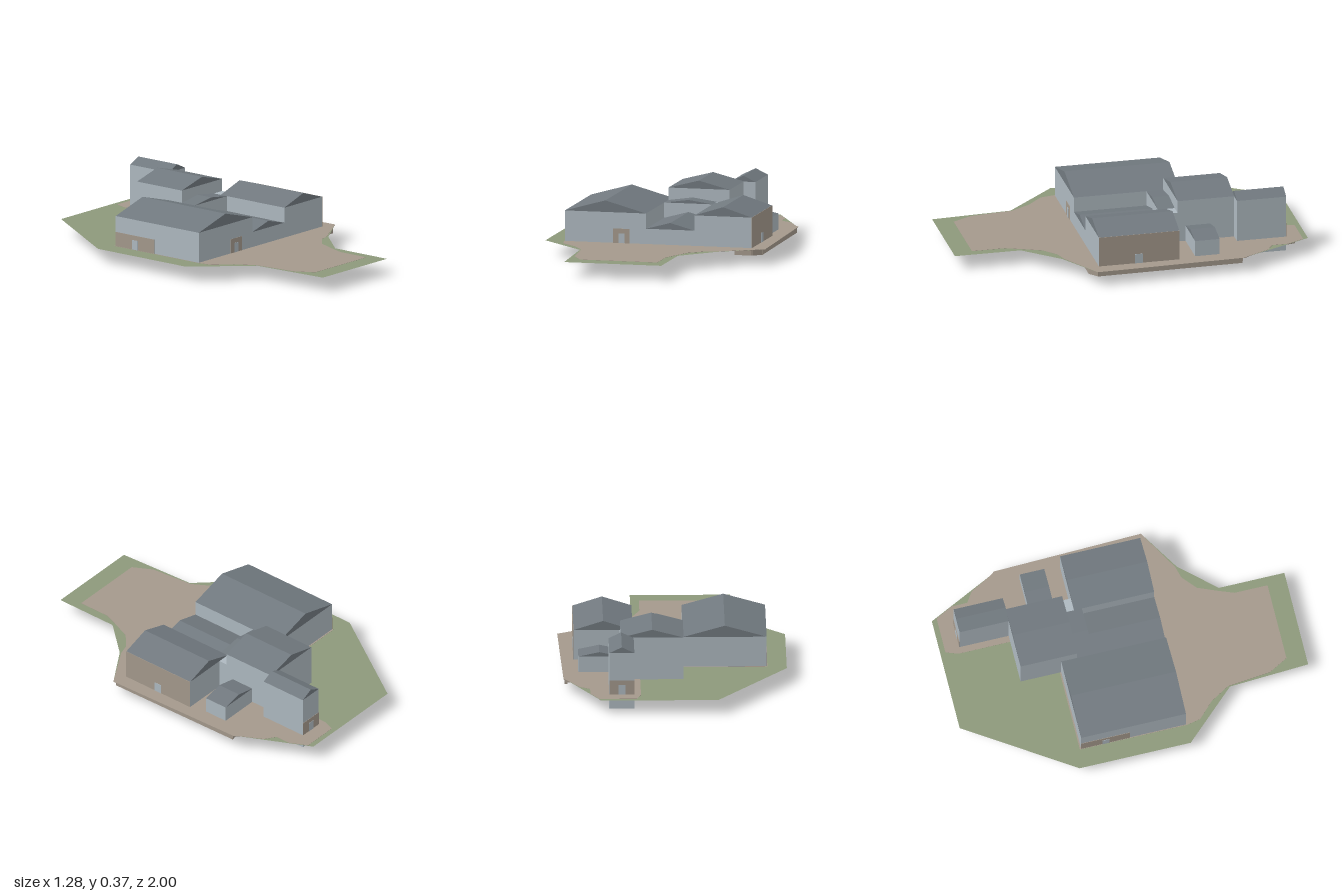
import * as THREE from 'three';

const mat = (name, color, side = THREE.FrontSide) => {
  const m = new THREE.MeshStandardMaterial({ color, side });
  m.name = name;
  return m;
};

export function createModel() {
  const group = new THREE.Group();
  const wall = mat('pale grey wall', 0xaeb9c0);
  const roof = mat('slate roof', 0x71797f);
  const tan = mat('tan earth', 0xa4998c, THREE.DoubleSide);
  const grass = mat('grass', 0x8d997b, THREE.DoubleSide);
  const GROUND = 0.082;

  const add = (name, geometry, material) => {
    const mesh = new THREE.Mesh(geometry, material);
    mesh.name = name;
    group.add(mesh);
    return mesh;
  };

  // Box given by its limits on each axis
  const box = (name, x0, x1, y0, y1, z0, z1, material) => {
    const g = new THREE.BoxGeometry(x1 - x0, y1 - y0, z1 - z0);
    g.translate((x0 + x1) / 2, (y0 + y1) / 2, (z0 + z1) / 2);
    add(name, g, material);
  };

  // Walls with a gabled roof whose ridge runs along z
  const building = (name, x0, x1, z0, z1, base, eave, ridge) => {
    box(name + 'Walls', x0, x1, base, eave, z0, z1, wall);
    const gable = new THREE.Shape([
      new THREE.Vector2(x0, eave), new THREE.Vector2(x1, eave),
      new THREE.Vector2((x0 + x1) / 2, ridge),
    ]);
    const g = new THREE.ExtrudeGeometry(gable, { depth: z1 - z0, bevelEnabled: false });
    g.translate(0, 0, z0);
    add(name + 'Roof', g, roof);
  };

  const FRONT = 0.245;
  building('westHall', -0.532, -0.06, -0.364, FRONT, 0.067, 0.257, 0.323);
  building('entranceHall', -0.06, 0.222, -0.175, FRONT, 0.067, 0.17, 0.208);
  building('linkHall', -0.06, 0.222, -0.272, -0.175, 0.067, 0.257, 0.277);
  building('eastHall', 0.222, 0.555, -0.221, FRONT, 0.067, 0.257, 0.31);
  building('rearHall', -0.06, 0.295, -0.6, -0.272, 0.01, 0.328, 0.374);
  building('rearTower', 0.222, 0.364, -0.885, -0.6, 0, 0.326, 0.36);
  building('sideAnnex', 0.295, 0.532, -0.46, -0.318, 0.067, 0.175, 0.2);
  box('flatLink', 0.222, 0.295, 0.067, 0.257, -0.272, -0.221, wall);

  // Tan rim around the slab
  box('frontFloorRim', -0.539, 0.56, 0.068, 0.08, -0.228, 0.251, tan);
  box('westFloorRim', -0.539, -0.053, 0.068, 0.08, -0.372, -0.228, tan);
  box('frontFloor', -0.527, 0.55, 0.0665, 0.07, -0.217, 0.24, wall);
  box('westFloor', -0.527, -0.063, 0.0665, 0.07, -0.36, -0.217, wall);

  // Tan wall panels with pale doors
  const t = 0.002;
  box('frontPanel', -0.25, -0.155, GROUND, 0.165, FRONT, FRONT + t, tan);
  box('frontDoor', -0.22, -0.185, GROUND, 0.138, FRONT, FRONT + 2 * t, wall);
  box('eastPanel', 0.555, 0.555 + t, GROUND, 0.257, -0.221, FRONT, tan);
  box('eastDoor', 0.555, 0.555 + 2 * t, GROUND, 0.138, -0.01, 0.037, wall);
  box('westPanel', -0.532 - t, -0.532, GROUND, 0.165, -0.364, -0.08, tan);
  box('westDoor', -0.532 - 2 * t, -0.532, GROUND, 0.138, -0.24, -0.2, wall);
  box('towerPanel', 0.222, 0.364, GROUND, 0.165, -0.885 - t, -0.885, tan);
  box('towerDoor', 0.272, 0.312, GROUND, 0.138, -0.885 - 2 * t, -0.885, wall);

  // Flat outline in x and z, laid at a height with a thickness
  const sheet = (name, pts, y, thick, material) => {
    const s = new THREE.Shape(pts.map(([x, z]) => new THREE.Vector2(x, -z)));
    const g = thick
      ? new THREE.ExtrudeGeometry(s, { depth: thick, bevelEnabled: false })
      : new THREE.ShapeGeometry(s);
    g.rotateX(-Math.PI / 2);
    g.translate(0, y, 0);
    add(name, g, material);
  };

  sheet('lawn', [
    [-0.25, -1], [0.41, -1], [0.6, -0.61], [0.617, -0.59], [0.64, 0.27], [0.4, 0.42],
    [0.22, 0.62], [0.22, 1], [-0.345, 1], [-0.37, 0.54], [-0.645, 0.245], [-0.645, -0.4],
  ], GROUND, 0, grass);

  // Bare earth in front, beside and behind the buildings
  sheet('bareEarth', [
    [-0.536, -0.372], [-0.05, -0.372], [-0.05, -0.59], [0.185, -0.6], [0.185, -0.9],
    [0.21, -0.97], [0.42, -0.97], [0.47, -0.87], [0.47, -0.78], [0.53, -0.74],
    [0.6, -0.61], [0.617, -0.59], [0.64, 0.27], [0.4, 0.41], [0.33, 0.43], [0.25, 0.5],
    [0.2, 0.62], [0.17, 0.7], [0.17, 0.89], [-0.28, 0.89], [-0.34, 0.78],
    [-0.365, 0.53], [-0.43, 0.42], [-0.52, 0.33], [-0.536, 0.25],
  ], GROUND - 0.001, 0.002, tan);

  // Retaining curb below the east edge, stepping in around the rear tower
  const curb = [
    [0.475, 0.3], [0.57, 0.3], [0.615, 0.26], [0.603, -0.57],
    [0.47, -0.6], [0.45, -0.75], [0.41, -0.915], [0.31, -0.915],
  ];
  for (let i = 0; i < curb.length - 1; i++) {
    const [x0, z0] = curb[i], [x1, z1] = curb[i + 1];
    const bottom = i < 3 ? 0.05 : 0.06, h = GROUND - bottom;
    const m = add('curb', new THREE.BoxGeometry(Math.hypot(x1 - x0, z1 - z0) + 0.01, h, 0.016), tan);
    m.position.set((x0 + x1) / 2, bottom + h / 2, (z0 + z1) / 2);
    m.rotation.y = -Math.atan2(z1 - z0, x1 - x0);
  }
  return group;
}
